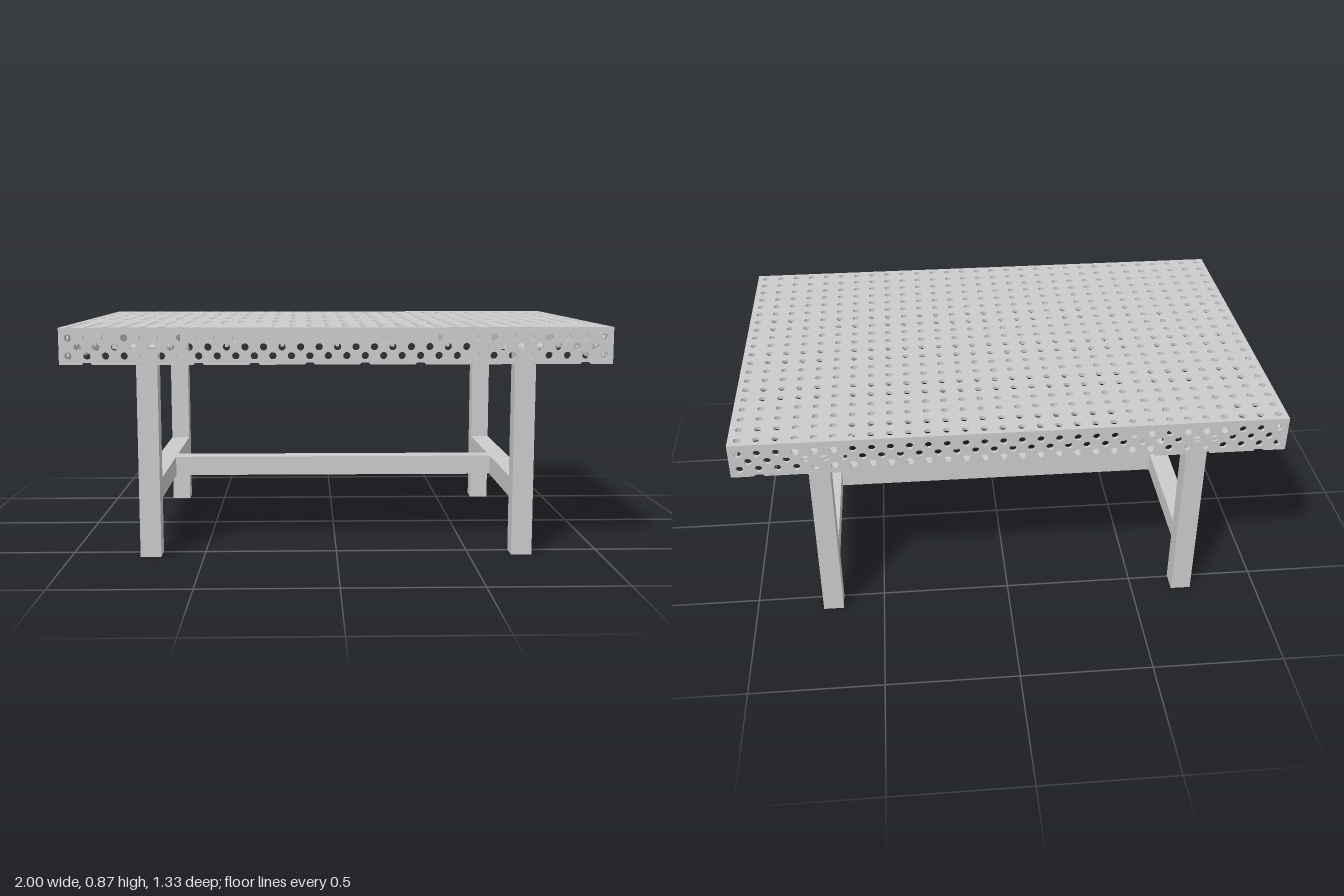
import * as THREE from 'three';

const W = 2, D = 4 / 3, H = 0.867, T = 0.012;   // overall size and sheet thickness
const PITCH = 1 / 15, HOLE = 0.0135;
const SKIRT_BOTTOM = 0.733, RIB_BOTTOM = 0.797;
const LEG_X = 0.7, LEG_Z = 0.534, TUBE = 0.078, RAIL_Y = 0.25;

const material = new THREE.MeshStandardMaterial({ color: 0xcccccc });

function add(parent, name, geometry, x = 0, y = 0, z = 0) {
  const mesh = new THREE.Mesh(geometry, material);
  mesh.name = name;
  mesh.position.set(x, y, z);
  parent.add(mesh);
  return mesh;
}

// n evenly spaced positions centred on zero
const spread = (n, step) => Array.from({ length: n }, (_, i) => (i - (n - 1) / 2) * step);

function circle(x, y, r) {
  const path = new THREE.Path();
  path.absarc(x, y, r, 0, Math.PI * 2, true);
  return path;
}

// flat sheet in the XY plane with round holes, centred in depth
function sheet(points, holes, depth) {
  const shape = new THREE.Shape(points.map(([x, y]) => new THREE.Vector2(x, y)));
  shape.holes = holes.map(([x, y]) => circle(x, y, HOLE));
  return new THREE.ExtrudeGeometry(shape, { depth, bevelEnabled: false, curveSegments: 5 })
    .translate(0, 0, -depth / 2);
}

// skirt sheet: three staggered rows of holes, shallow notches along the lower edge
function skirt(length, holeCount, notchXs) {
  const y0 = SKIRT_BOTTOM, y1 = H - T, h = length / 2;
  const points = [[-h, y0]];
  for (const x of notchXs) {
    points.push([x - 0.02, y0], [x - 0.013, y0 + 0.007], [x + 0.013, y0 + 0.007], [x + 0.02, y0]);
  }
  points.push([h, y0], [h, y1], [-h, y1]);
  const holes = [];
  for (const x of spread(holeCount, PITCH)) holes.push([x, 0.765], [x, 0.83]);
  for (const x of spread(holeCount - 1, PITCH)) holes.push([x, 0.797]);
  return sheet(points, holes, T);
}

// square hollow tube standing along y
function squareTube(size, height, wall) {
  const square = (h) => [[-h, -h], [h, -h], [h, h], [-h, h]].map(([x, y]) => new THREE.Vector2(x, y));
  const shape = new THREE.Shape(square(size / 2));
  shape.holes.push(new THREE.Path(square(size / 2 - wall)));
  return new THREE.ExtrudeGeometry(shape, { depth: height, bevelEnabled: false }).rotateX(-Math.PI / 2);
}

export function createModel() {
  const model = new THREE.Group();
  model.name = 'weldingTable';

  // perforated top plate
  const gridHoles = [];
  for (const x of spread(30, PITCH)) for (const z of spread(20, PITCH)) gridHoles.push([x, z]);
  const outline = [[-W / 2, -D / 2], [W / 2, -D / 2], [W / 2, D / 2], [-W / 2, D / 2]];
  add(model, 'topPlate', sheet(outline, gridHoles, T).rotateX(-Math.PI / 2), 0, H - T / 2, 0);

  // perforated skirts
  const longSkirt = skirt(W, 30, spread(10, 0.2));
  const shortSkirt = skirt(D - 2 * T, 20, spread(5, 4 / 15)).rotateY(Math.PI / 2);
  for (const s of [1, -1]) {
    add(model, s > 0 ? 'frontSkirt' : 'backSkirt', longSkirt, 0, 0, s * (D - T) / 2);
    add(model, s > 0 ? 'leftSkirt' : 'rightSkirt', shortSkirt, s * (W - T) / 2, 0, 0);
  }

  // crossed stiffening ribs under the plate
  const ribs = new THREE.Group();
  ribs.name = 'ribs';
  model.add(ribs);
  const ribH = H - T - RIB_BOTTOM, ribY = RIB_BOTTOM + ribH / 2;
  const longRib = new THREE.BoxGeometry(W - 2 * T, ribH, T);
  const crossRib = new THREE.BoxGeometry(T, ribH, D - 2 * T);
  for (const z of spread(4, 4 / 15)) add(ribs, 'longRib', longRib, 0, ribY, z);
  for (const x of spread(9, 0.2)) add(ribs, 'crossRib', crossRib, x, ribY, 0);

  // hollow legs with round mounting flanges and bolts
  const legTube = squareTube(TUBE, RIB_BOTTOM - T, 0.008);
  const flange = new THREE.CylinderGeometry(0.13, 0.13, T, 32);
  const bolt = new THREE.CylinderGeometry(0.011, 0.011, 0.01, 6);
  for (const sx of [1, -1]) for (const sz of [1, -1]) {
    const leg = new THREE.Group();
    leg.name = (sz > 0 ? 'front' : 'back') + (sx > 0 ? 'Left' : 'Right') + 'Leg';
    leg.position.set(sx * LEG_X, 0, sz * LEG_Z);
    model.add(leg);
    add(leg, 'legTube', legTube);
    add(leg, 'flange', flange, 0, RIB_BOTTOM - T / 2, 0);
    for (let i = 0; i < 4; i++) {
      const a = i * Math.PI / 2;
      add(leg, 'flangeBolt', bolt, Math.cos(a) * 0.1, RIB_BOTTOM - T - 0.005, Math.sin(a) * 0.1);
    }
  }

  // H-shaped stretcher frame
  const sideRail = new THREE.BoxGeometry(TUBE, TUBE, 2 * LEG_Z - TUBE);
  add(model, 'leftStretcher', sideRail, LEG_X, RAIL_Y, 0);
  add(model, 'rightStretcher', sideRail, -LEG_X, RAIL_Y, 0);
  add(model, 'centreStretcher', new THREE.BoxGeometry(2 * LEG_X - TUBE, TUBE, TUBE), 0, RAIL_Y, 0);

  return model;
}
